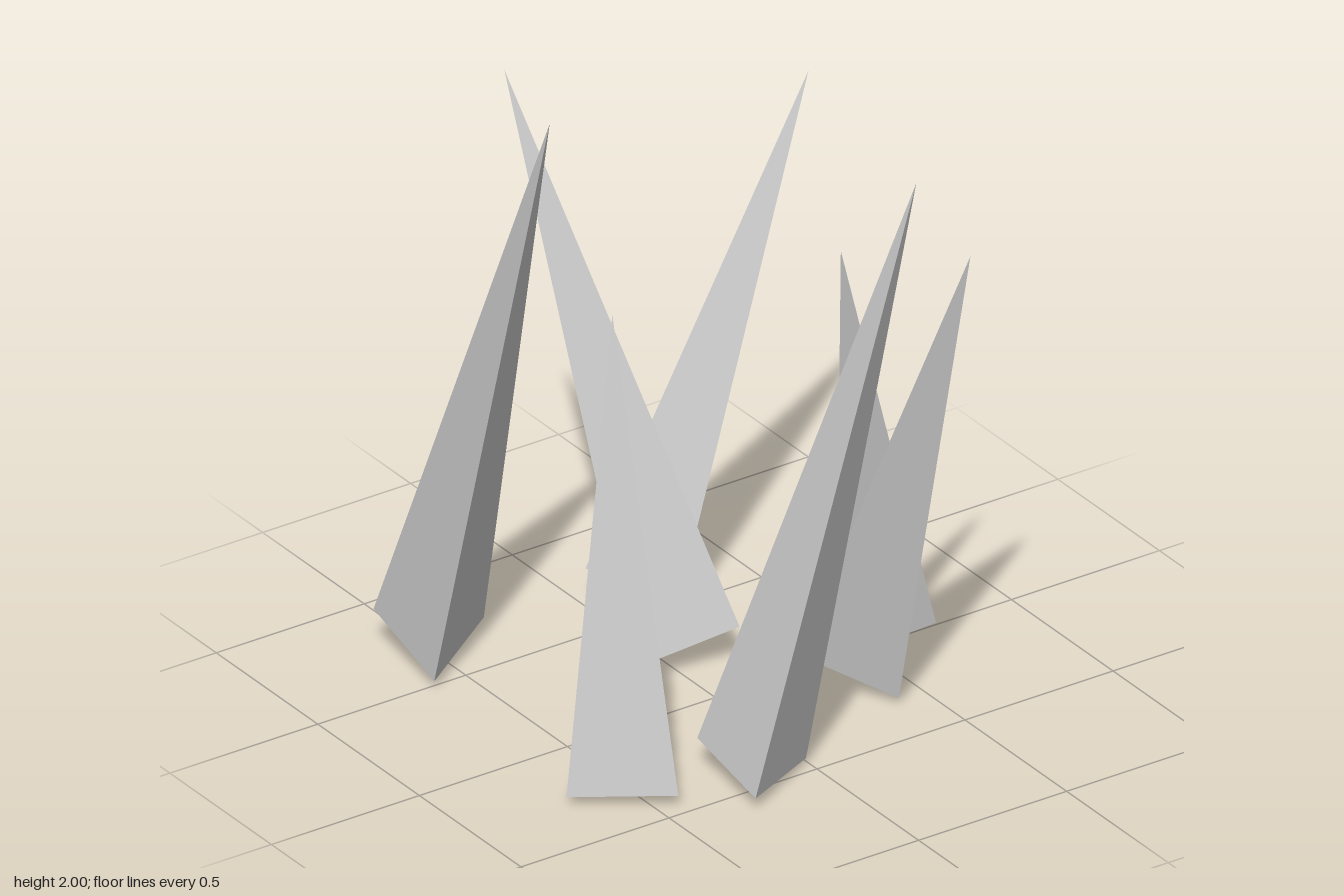
import * as THREE from 'three';

const BASE_RADIUS = 0.18;

// Each spike: centre of its base, its tip, and one base corner that sets the twist
const SPIKES = [
  { name: 'backLeftSpike', foot: [0.143, 0.065, -0.543], tip: [0.62, 1.6, -0.445], corner: [0.30, 0.02, -0.61] },
  { name: 'backRightSpike', foot: [-0.53, 0.077, -0.63], tip: [-0.56, 2.0, 0.0], corner: [-0.35, 0.08, -0.63] },
  { name: 'centreSpike', foot: [0.033, 0.074, -0.23], tip: [-0.24, 1.76, -0.69], corner: [0.16, 0.127, -0.11] },
  { name: 'leftSpike', foot: [0.56, 0.043, -0.047], tip: [0.30, 1.41, 0.18], corner: [0.40, 0.0, 0.015] },
  { name: 'frontLeftSpike', foot: [0.383, 0.085, 0.153], tip: [0.333, 1.65, 0.77], corner: [0.40, 0.02, 0.32] },
  { name: 'frontSpike', foot: [-0.187, 0.053, 0.457], tip: [0.15, 1.94, 0.77], corner: [-0.01, 0.02, 0.46] },
  { name: 'rightSpike', foot: [-0.523, 0.029, 0.307], tip: [-0.465, 1.44, 0.17], corner: [-0.70, 0.035, 0.29] },
];

// Three-sided cone standing on its foot, leaning toward its tip
function makeSpike({ name, foot, tip, corner }, material) {
  const base = new THREE.Vector3(...foot);
  const axis = new THREE.Vector3(...tip).sub(base);
  const height = axis.length();
  axis.normalize();

  const forward = new THREE.Vector3(...corner).sub(base);
  forward.addScaledVector(axis, -forward.dot(axis)).normalize();
  const side = new THREE.Vector3().crossVectors(axis, forward);

  const geometry = new THREE.ConeGeometry(BASE_RADIUS, height, 3)
    .translate(0, height / 2, 0)
    .toNonIndexed();
  geometry.computeVertexNormals(); // flat facets

  const spike = new THREE.Mesh(geometry, material);
  spike.name = name;
  spike.position.copy(base);
  spike.quaternion.setFromRotationMatrix(new THREE.Matrix4().makeBasis(side, axis, forward));
  return spike;
}

export function createModel() {
  const stone = new THREE.MeshStandardMaterial({ color: 0xcccccc });
  stone.name = 'paleGrey';

  const group = new THREE.Group();
  group.name = 'spikeCluster';
  for (const spec of SPIKES) group.add(makeSpike(spec, stone));
  return group;
}
